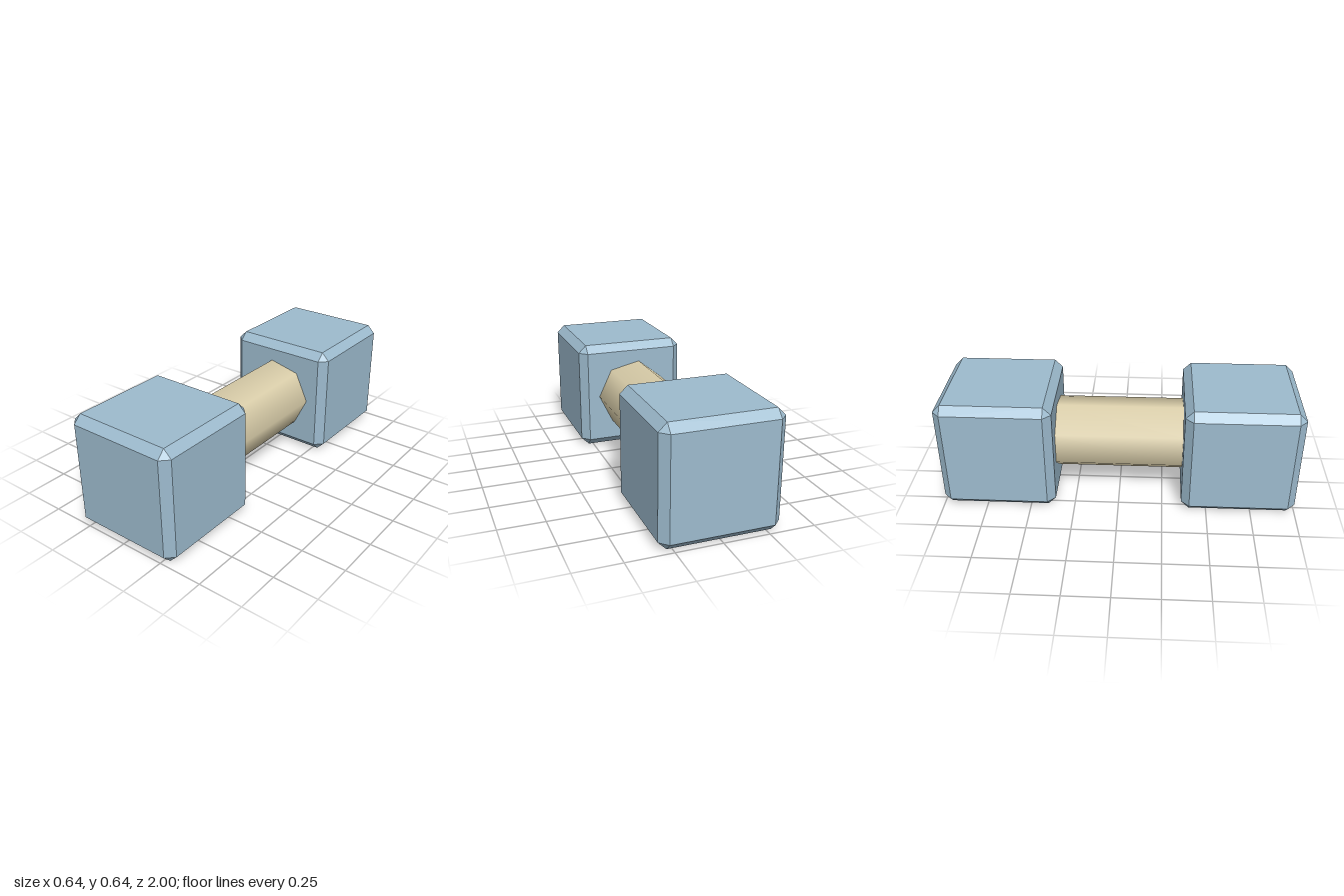
import * as THREE from 'three';
import { ConvexGeometry } from 'three/addons/geometries/ConvexGeometry.js';

const HEAD = 0.642;    // edge length of each weight
const BEVEL = 0.044;   // chamfer width

// Cube with chamfered edges and triangular corners
function chamferedCube(size, bevel) {
  const h = size / 2, i = h - bevel;
  const points = [];
  for (const x of [-1, 1]) for (const y of [-1, 1]) for (const z of [-1, 1]) {
    points.push(
      new THREE.Vector3(x * h, y * i, z * i),
      new THREE.Vector3(x * i, y * h, z * i),
      new THREE.Vector3(x * i, y * i, z * h)
    );
  }
  return new ConvexGeometry(points);
}

export function createModel() {
  const model = new THREE.Group();
  model.name = 'dumbbell';

  const blue = new THREE.MeshStandardMaterial({ color: 0x9dbbce });
  blue.name = 'weightBlue';
  const tan = new THREE.MeshStandardMaterial({ color: 0xdaceaa });
  tan.name = 'handleTan';

  // Weights at both ends
  const headGeometry = chamferedCube(HEAD, BEVEL);
  for (const [name, side] of [['frontWeight', 1], ['backWeight', -1]]) {
    const head = new THREE.Mesh(headGeometry, blue);
    head.name = name;
    head.position.set(0, HEAD / 2, side * (1 - HEAD / 2));
    model.add(head);
  }

  // Seven-sided, smooth-shaded handle with one corner towards +x
  const handleGeometry = new THREE.CylinderGeometry(0.21, 0.21, 0.76, 7, 1, false, Math.PI / 2);
  handleGeometry.rotateX(Math.PI / 2);
  const handle = new THREE.Mesh(handleGeometry, tan);
  handle.name = 'handle';
  handle.position.y = HEAD / 2;
  model.add(handle);

  return model;
}
